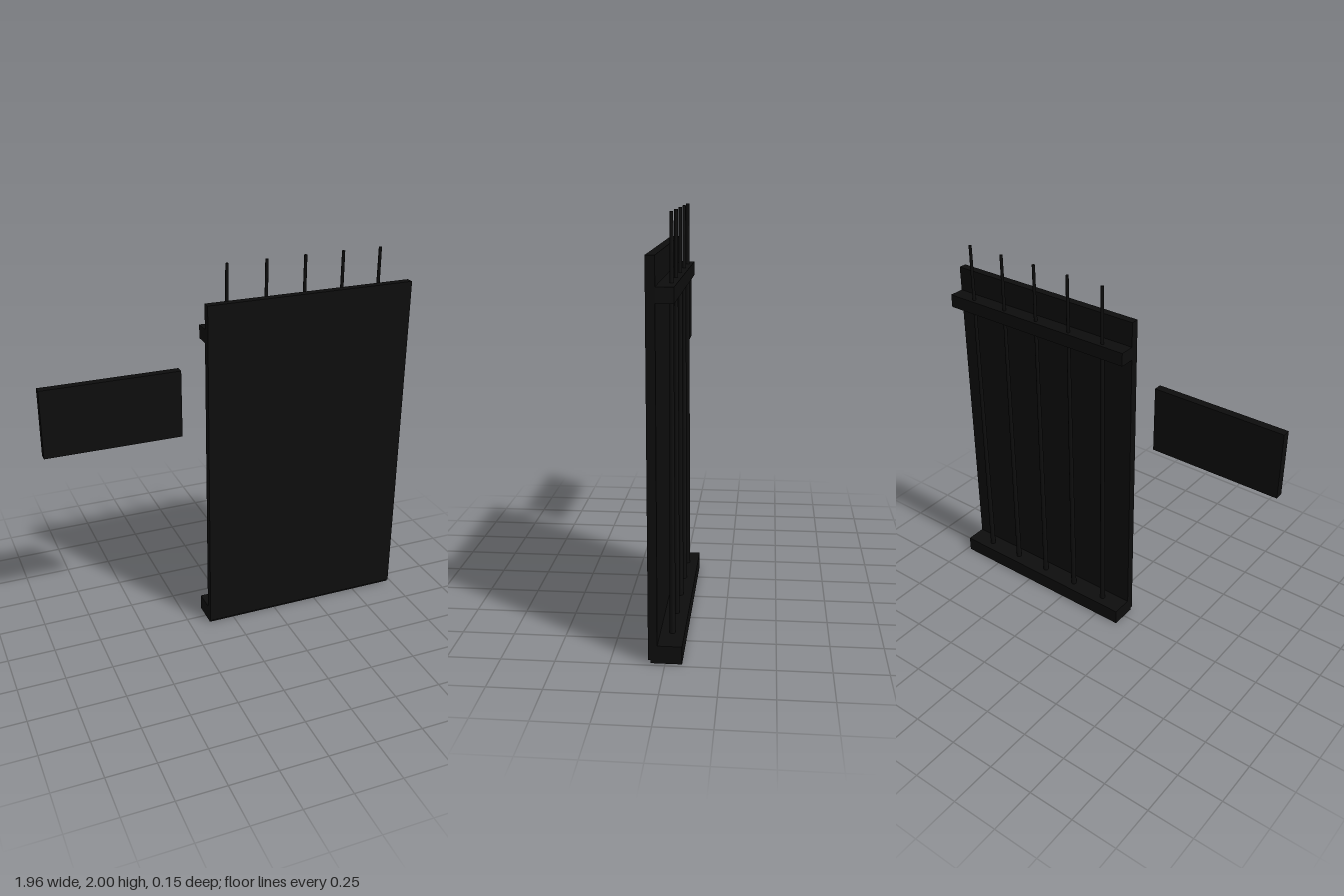
import * as THREE from 'three';

export function createModel() {
  const model = new THREE.Group();
  const black = new THREE.MeshStandardMaterial({ color: 0x0d0d0d });
  black.name = 'black';

  // Box given by its minimum and maximum corners
  function slab(name, [x0, y0, z0], [x1, y1, z1]) {
    const mesh = new THREE.Mesh(new THREE.BoxGeometry(x1 - x0, y1 - y0, z1 - z0), black);
    mesh.position.set((x0 + x1) / 2, (y0 + y1) / 2, (z0 + z1) / 2);
    mesh.name = name;
    model.add(mesh);
  }

  // Flat panels
  slab('mainPanel', [-0.14, 0.015, 0.035], [0.98, 1.83, 0.077]);
  slab('smallPanel', [-0.98, 1.17, 0.035], [-0.28, 1.52, 0.077]);

  // Rails behind the main panel
  slab('topRail', [-0.14, 1.63, -0.045], [0.98, 1.70, 0.037]);
  slab('bottomRail', [-0.14, 0, -0.077], [0.98, 0.085, 0.066]);

  // Slender tapered rods rising through both rails
  const rodGeometry = new THREE.CylinderGeometry(0.008, 0.015, 1.97, 12);
  for (let i = 0; i < 5; i++) {
    const rod = new THREE.Mesh(rodGeometry, black);
    rod.position.set(-0.003 + i * 0.21, 1.015, -0.02);
    rod.name = 'rod' + (i + 1);
    model.add(rod);
  }
  return model;
}
